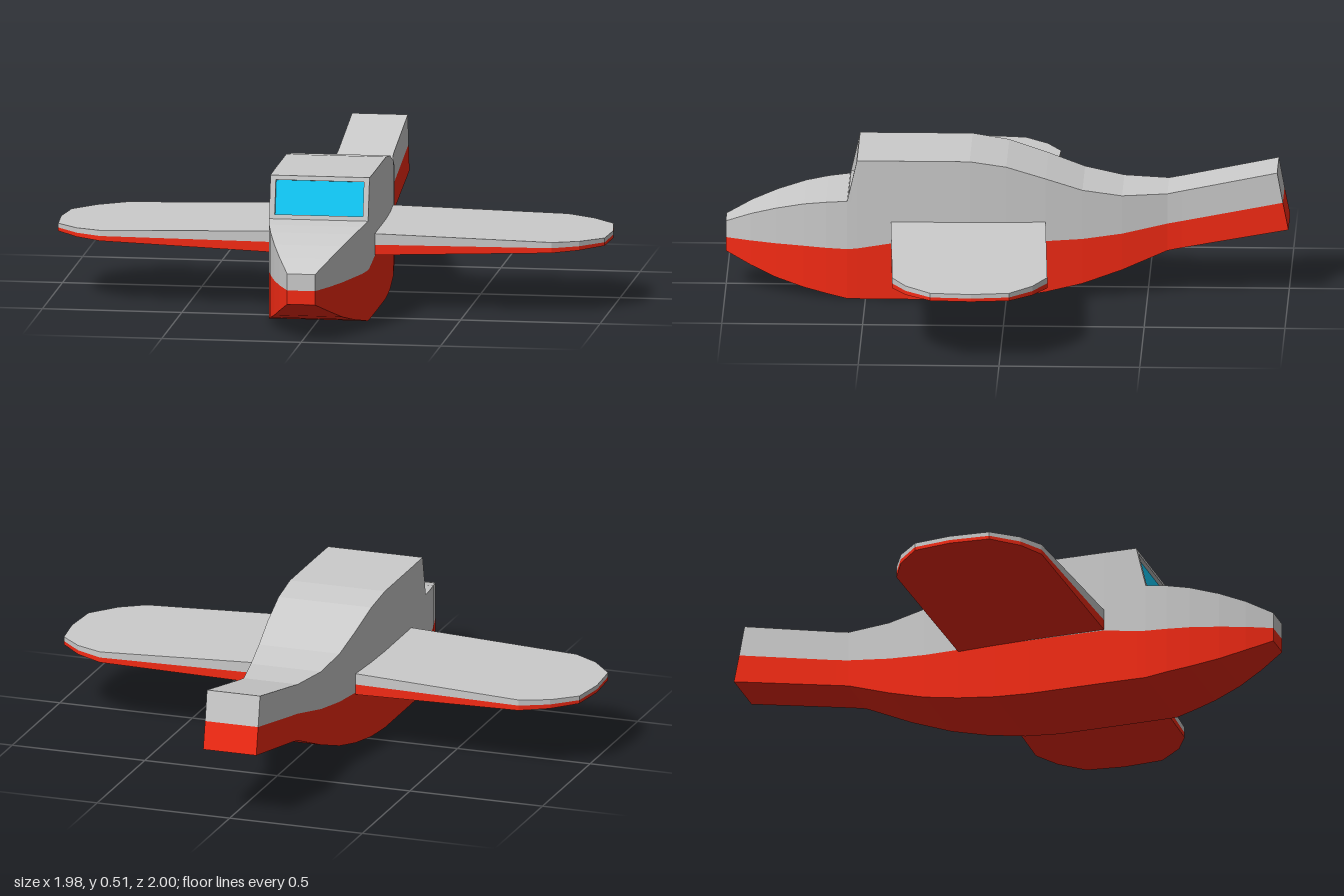
import * as THREE from 'three';

const grey = new THREE.MeshStandardMaterial({ color: 0xcccccc, flatShading: true });
const red = new THREE.MeshStandardMaterial({ color: 0xf52a14, flatShading: true });
const blue = new THREE.MeshStandardMaterial({ color: 0x12d0ff, flatShading: true });

// Fuselage stations, nose to tail: z, half width, bottom y, split y, top y, backward lean
const stations = [
  [1, 0.05, 0.14, 0.19, 0.25],
  [0.91, 0.09, 0.1, 0.19, 0.29],
  [0.82, 0.122, 0.065, 0.19, 0.32],
  [0.72, 0.15, 0.037, 0.19, 0.345],
  [0.64, 0.167, 0.02, 0.188, 0.357],
  [0.565, 0.177, 0.004, 0.187, 0.364],
  [0.53, 0.178, 0.004, 0.19, 0.515],
  [0.41, 0.179, 0.004, 0.21, 0.515],
  [0.13, 0.179, 0.004, 0.212, 0.515],
  [0, 0.175, 0.012, 0.215, 0.495],
  [-0.14, 0.166, 0.032, 0.22, 0.45],
  [-0.27, 0.152, 0.06, 0.225, 0.405],
  [-0.41, 0.132, 0.106, 0.24, 0.38],
  [-0.57, 0.102, 0.17, 0.27, 0.38],
  [-0.62, 0.1, 0.18, 0.279, 0.39],
  [-0.98, 0.1, 0.25, 0.35, 0.46, 0.02],
];
const WINDSHIELD = 5; // station where the windshield starts

// Loft one half of the hull, leaving out the hidden side where the halves meet
function hullHalf(lo, hi, hiddenSide, isOpen) {
  const rings = stations.map((s) => {
    const [z, w] = s;
    const zAt = (i) => z + (i - 3) * (s[5] ?? 0);
    return [[-w, s[lo], zAt(lo)], [w, s[lo], zAt(lo)], [w, s[hi], zAt(hi)], [-w, s[hi], zAt(hi)]];
  });
  const pos = [];
  const quad = (a, b, c, d) => pos.push(...a, ...b, ...c, ...a, ...c, ...d);
  for (let i = 0; i < rings.length - 1; i++) {
    const p = rings[i], q = rings[i + 1];
    for (let k = 0; k < 4; k++) {
      if (k === hiddenSide || isOpen(i, k)) continue;
      const n = (k + 1) % 4;
      quad(p[k], q[k], q[n], p[n]);
    }
  }
  quad(...rings[0]);
  quad(...rings[rings.length - 1].slice().reverse());
  const g = new THREE.BufferGeometry();
  g.setAttribute('position', new THREE.Float32BufferAttribute(pos, 3));
  g.computeVertexNormals();
  return g;
}

// Wing outline as x, z
const wingOutline = [
  [0.15, 0.411], [0.81, 0.385], [0.9, 0.335], [0.98, 0.245], [0.99, 0.1],
  [0.972, -0.035], [0.89, -0.115], [0.79, -0.165], [0.15, -0.139],
];

// Wing layer: a slab whose bottom and top heights run from root to tip
function wingLayer(side, bottom, top) {
  const shape = new THREE.Shape(wingOutline.map(([x, z]) => new THREE.Vector2(side * x, -z)));
  const g = new THREE.ExtrudeGeometry(shape, { depth: 1, bevelEnabled: false });
  g.rotateX(-Math.PI / 2);
  const p = g.attributes.position;
  for (let i = 0; i < p.count; i++) {
    const t = (Math.abs(p.getX(i)) - 0.18) / 0.81;
    const ends = p.getY(i) > 0.5 ? top : bottom;
    p.setY(i, THREE.MathUtils.lerp(ends[0], ends[1], t));
  }
  g.computeVertexNormals();
  return g;
}

function rectangle(Type, w, h) {
  return new Type([[-w, -h], [w, -h], [w, h], [-w, h]].map(([x, y]) => new THREE.Vector2(x, y)));
}

export function createModel() {
  const model = new THREE.Group();
  const add = (parent, name, geometry, material) => {
    const mesh = new THREE.Mesh(geometry, material);
    mesh.name = name;
    parent.add(mesh);
    return mesh;
  };

  // Fuselage
  add(model, 'upperFuselage', hullHalf(3, 4, 0, (i, k) => i === WINDSHIELD && k === 2), grey);
  add(model, 'lowerFuselage', hullHalf(2, 3, 2, () => false), red);

  // Wings
  for (const side of [1, -1]) {
    const wing = new THREE.Group();
    wing.name = side > 0 ? 'leftWing' : 'rightWing';
    add(wing, 'wingTop', wingLayer(side, [0.25, 0.25], [0.29, 0.265]), grey);
    add(wing, 'wingUnderside', wingLayer(side, [0.213, 0.238], [0.25, 0.25]), red);
    model.add(wing);
  }

  // Sloping windshield with a frame and recessed glass
  const a = stations[WINDSHIELD], b = stations[WINDSHIELD + 1];
  const rise = b[4] - a[4], run = a[0] - b[0];
  const windshield = new THREE.Group();
  windshield.name = 'windshield';
  windshield.position.set(0, (a[4] + b[4]) / 2, (a[0] + b[0]) / 2);
  windshield.rotation.x = -Math.atan2(run, rise);
  const halfHeight = Math.hypot(rise, run) / 2;
  const frame = rectangle(THREE.Shape, 0.1775, halfHeight);
  frame.holes.push(rectangle(THREE.Path, 0.158, halfHeight - 0.016));
  const depth = 0.015;
  const frameGeometry = new THREE.ExtrudeGeometry(frame, { depth, bevelEnabled: false });
  add(windshield, 'windshieldFrame', frameGeometry.translate(0, 0, -depth), grey);
  const glass = add(windshield, 'windshieldGlass', new THREE.PlaneGeometry(0.33, halfHeight * 2 - 0.02), blue);
  glass.position.z = -depth + 0.002;
  model.add(windshield);

  return model;
}
